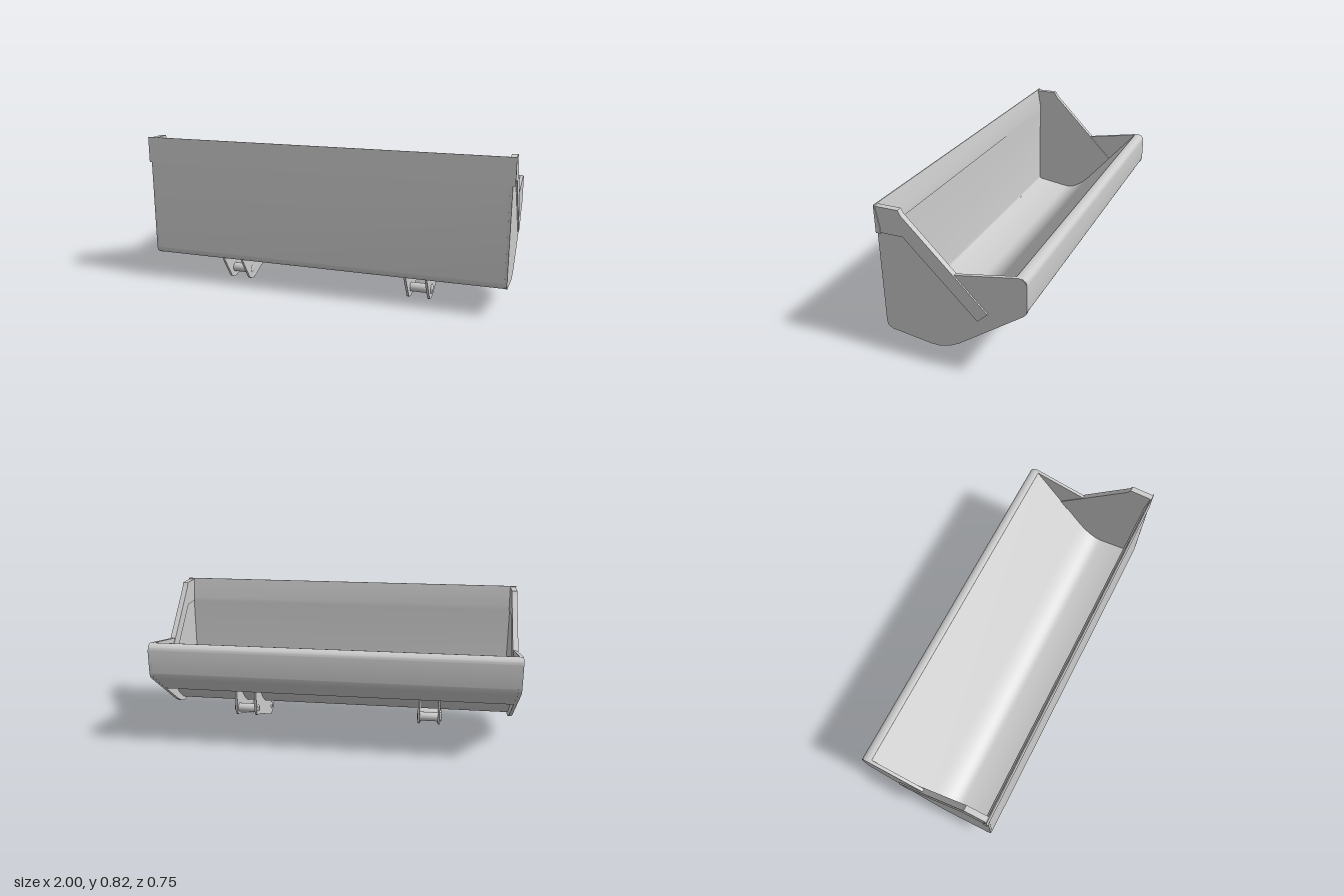
import * as THREE from 'three';
import { toCreasedNormals } from 'three/addons/utils/BufferGeometryUtils.js';

const grey = new THREE.MeshStandardMaterial({ color: 0xcccccc });

// Extrudes a side profile, given as [z, y] points, across the width from x0 to x1
function slab(name, points, x0, x1) {
  const shape = new THREE.Shape(points.map(([z, y]) => new THREE.Vector2(z, y)));
  const depth = Math.abs(x1 - x0);
  const geo = new THREE.ExtrudeGeometry(shape, { depth, bevelEnabled: false });
  geo.translate(0, 0, -depth / 2).rotateY(-Math.PI / 2).translate((x0 + x1) / 2, 0, 0);
  const mesh = new THREE.Mesh(toCreasedNormals(geo, 0.5), grey);
  mesh.name = name;
  return mesh;
}

// Thickens an open [z, y] path towards its right-hand side
function thicken(path, t) {
  const outer = path.getPoints(12);
  const inner = outer.map((p, i) => {
    const a = outer[Math.max(i - 1, 0)];
    const b = outer[Math.min(i + 1, outer.length - 1)];
    const d = b.clone().sub(a).normalize();
    return [p.x + d.y * t, p.y - d.x * t];
  });
  return [...outer.map((p) => [p.x, p.y]), ...inner.reverse()];
}

export function createModel() {
  const model = new THREE.Group();

  // Bent sheet: front wall, curved floor and steep back up to the rim
  const sheet = new THREE.Path();
  sheet.moveTo(0.374, 0.69);
  sheet.lineTo(0.374, 0.185);
  sheet.quadraticCurveTo(0.373, 0.152, 0.343, 0.147);
  sheet.lineTo(0.16, 0.121);
  sheet.bezierCurveTo(0.09, 0.111, 0.02, 0.168, -0.03, 0.225);
  sheet.lineTo(-0.335, 0.574);
  model.add(slab('bucketShell', thicken(sheet, 0.02), -0.975, 0.975));

  // Folded lip behind the rim: rounded top, upright strip and sloping underside
  const lip = new THREE.Path();
  lip.moveTo(-0.2, 0.284);
  lip.lineTo(-0.35, 0.391);
  lip.quadraticCurveTo(-0.375, 0.41, -0.375, 0.44);
  lip.lineTo(-0.375, 0.55);
  lip.quadraticCurveTo(-0.375, 0.588, -0.335, 0.589);
  lip.lineTo(-0.32, 0.587);
  model.add(slab('backLip', thicken(lip, 0.012), -0.985, 0.985));

  // Cutting edge along the top of the front wall, bevelled on its inner face
  const cuttingEdge = [[0.35, 0.677], [0.375, 0.677], [0.375, 0.818], [0.37, 0.818], [0.35, 0.7]];
  model.add(slab('cuttingEdge', cuttingEdge, -1, 1));

  const sidePlate = [
    [0.373, 0.81], [0.25, 0.81], [0.235, 0.783], [-0.015, 0.532], [-0.335, 0.59],
    [-0.36, 0.582], [-0.375, 0.555], [-0.375, 0.43], [-0.37, 0.41], [-0.358, 0.396],
    [-0.02, 0.155], [0.03, 0.13], [0.08, 0.116], [0.13, 0.116], [0.345, 0.146],
    [0.367, 0.161], [0.373, 0.182],
  ];
  // Reinforcement running from the front corner down the open edge
  const edgeBar = [
    [0.374, 0.812], [0.25, 0.812], [0.235, 0.785], [-0.182, 0.365], [-0.13, 0.315],
    [0.235, 0.68], [0.374, 0.68],
  ];

  // Bracket plate, its upper edge buried in the bent sheet
  const ear = [
    [0.345, 0.138], [0.262, 0.016], [0.238, 0.004], [0.205, 0], [0.175, 0.009],
    [-0.072, 0.109], [-0.11, 0.113], [-0.133, 0.126], [-0.143, 0.15], [-0.143, 0.364],
    [-0.03, 0.236], [0.02, 0.183], [0.08, 0.14], [0.16, 0.131], [0.345, 0.156],
  ];

  // Pin with slightly domed ends
  const pinProfile = [[0, -0.07], [0.018, -0.069], [0.025, -0.063], [0.025, 0.063], [0.018, 0.069], [0, 0.07]];
  const pinGeometry = new THREE.LatheGeometry(pinProfile.map(([r, y]) => new THREE.Vector2(r, y)), 32);

  for (const s of [-1, 1]) {
    // Side wall with its reinforcement
    model.add(slab('sidePlate', sidePlate, s * 0.97, s * 0.988));
    model.add(slab('sideEdgeBar', edgeBar, s * 0.966, s * 0.996));

    // Mounting bracket: two ears joined by two pins
    const bracket = new THREE.Group();
    bracket.name = 'mountingBracket';
    for (const x of [0.466, 0.578]) {
      bracket.add(slab('bracketEar', ear, s * (x - 0.006), s * (x + 0.006)));
    }
    for (const [z, y] of [[0.22, 0.056], [-0.102, 0.154]]) {
      const pin = new THREE.Mesh(pinGeometry, grey);
      pin.name = 'bracketPin';
      pin.rotation.z = Math.PI / 2;
      pin.position.set(s * 0.526, y, z);
      bracket.add(pin);
    }
    model.add(bracket);
  }
  return model;
}
